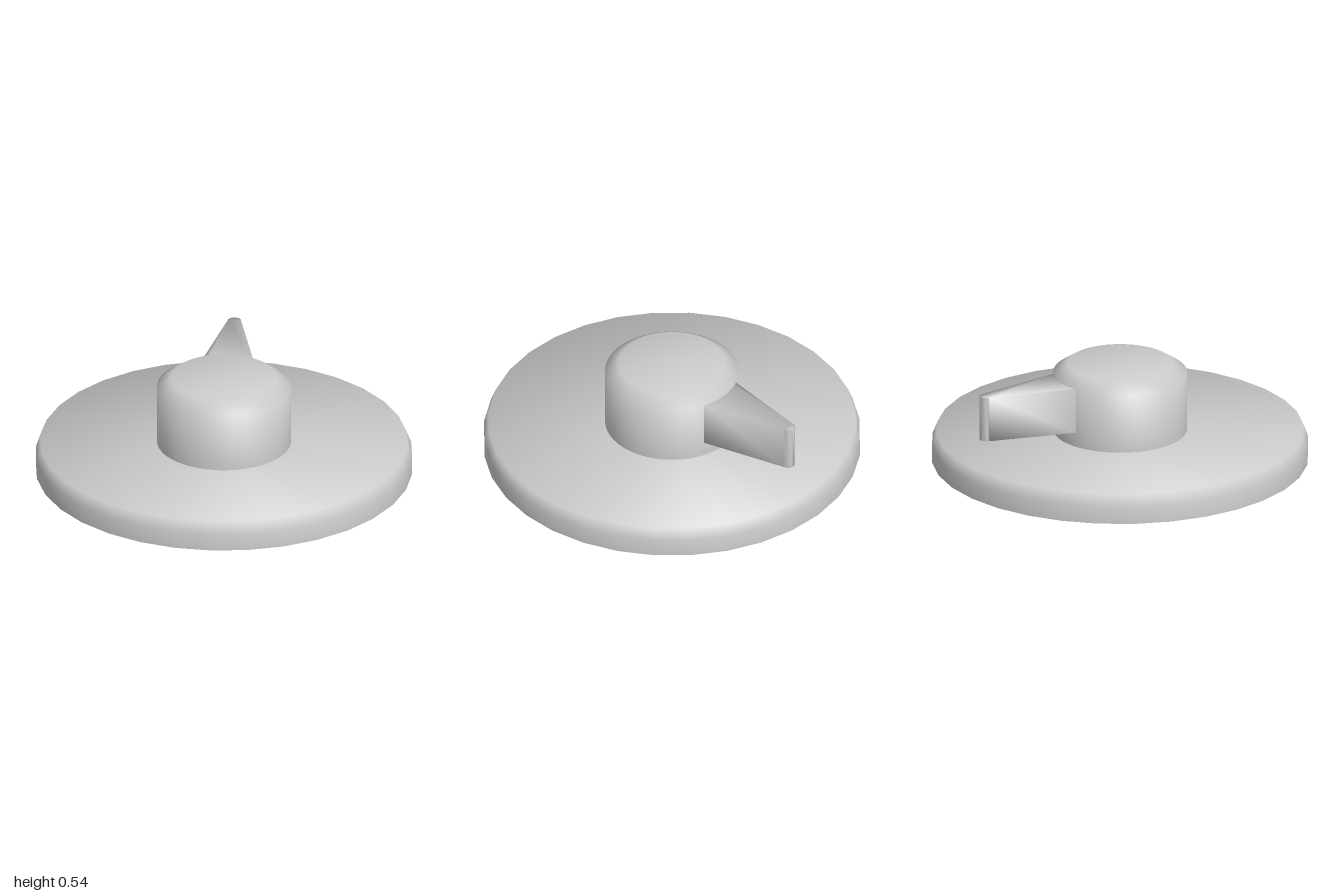
import * as THREE from 'three';
import { mergeVertices } from 'three/addons/utils/BufferGeometryUtils.js';

const material = new THREE.MeshStandardMaterial({ color: 0xcccccc });

function part(name, geometry) {
  const mesh = new THREE.Mesh(geometry, material);
  mesh.name = name;
  return mesh;
}

// Revolves a [radius, y] profile, with normals shared softly across every edge
function revolve(profile, sides) {
  const points = profile.map(([r, y]) => new THREE.Vector2(r, y));
  const geometry = new THREE.LatheGeometry(points, sides);
  const faces = points.slice(1).map((p, i) =>
    new THREE.Vector2(p.y - points[i].y, points[i].x - p.x).normalize());
  const normals = points.map((p, i) => {
    if (p.x === 0) return new THREE.Vector2(0, 1);
    const before = faces[Math.max(i - 1, 0)];
    const after = faces[Math.min(i, faces.length - 1)];
    return before.clone().add(after).normalize();
  });
  const attribute = geometry.attributes.normal;
  for (let i = 0; i < attribute.count; i++) {
    const n = normals[i % points.length];
    const angle = Math.floor(i / points.length) / sides * Math.PI * 2;
    attribute.setXYZ(i, n.x * Math.sin(angle), n.y, n.x * Math.cos(angle));
  }
  return geometry;
}

// Tapered pointer with a rounded tip, extruded upwards and pointing to the back
function pointerGeometry() {
  const shape = new THREE.Shape();
  shape.moveTo(-0.13, 0.2);
  shape.lineTo(0.13, 0.2);
  shape.lineTo(0.133, 0.33);
  shape.lineTo(0.036, 0.795);
  shape.absarc(0, 0.795, 0.036, 0, Math.PI, false);
  shape.lineTo(-0.133, 0.33);
  shape.closePath();
  const raw = new THREE.ExtrudeGeometry(shape, { depth: 0.245, bevelEnabled: false, curveSegments: 8 });
  raw.deleteAttribute('normal');
  raw.deleteAttribute('uv');
  const geometry = mergeVertices(raw);
  geometry.rotateX(-Math.PI / 2);
  geometry.translate(0, 0.24, 0);
  geometry.computeVertexNormals();
  return geometry;
}

export function createModel() {
  const group = new THREE.Group();
  group.name = 'rotaryKnob';

  // Wide round plate with a slightly bevelled rim
  group.add(part('basePlate', revolve([[1, 0], [1, 0.095], [0.975, 0.16], [0, 0.16]], 32)));

  // Flat underside
  const underside = new THREE.CircleGeometry(1, 32);
  underside.rotateX(Math.PI / 2);
  group.add(part('baseUnderside', underside));

  // Central hub with a chamfered top
  group.add(part('hub', revolve([[0.355, 0.16], [0.355, 0.485], [0.28, 0.535], [0, 0.535]], 64)));

  group.add(part('pointer', pointerGeometry()));
  return group;
}
